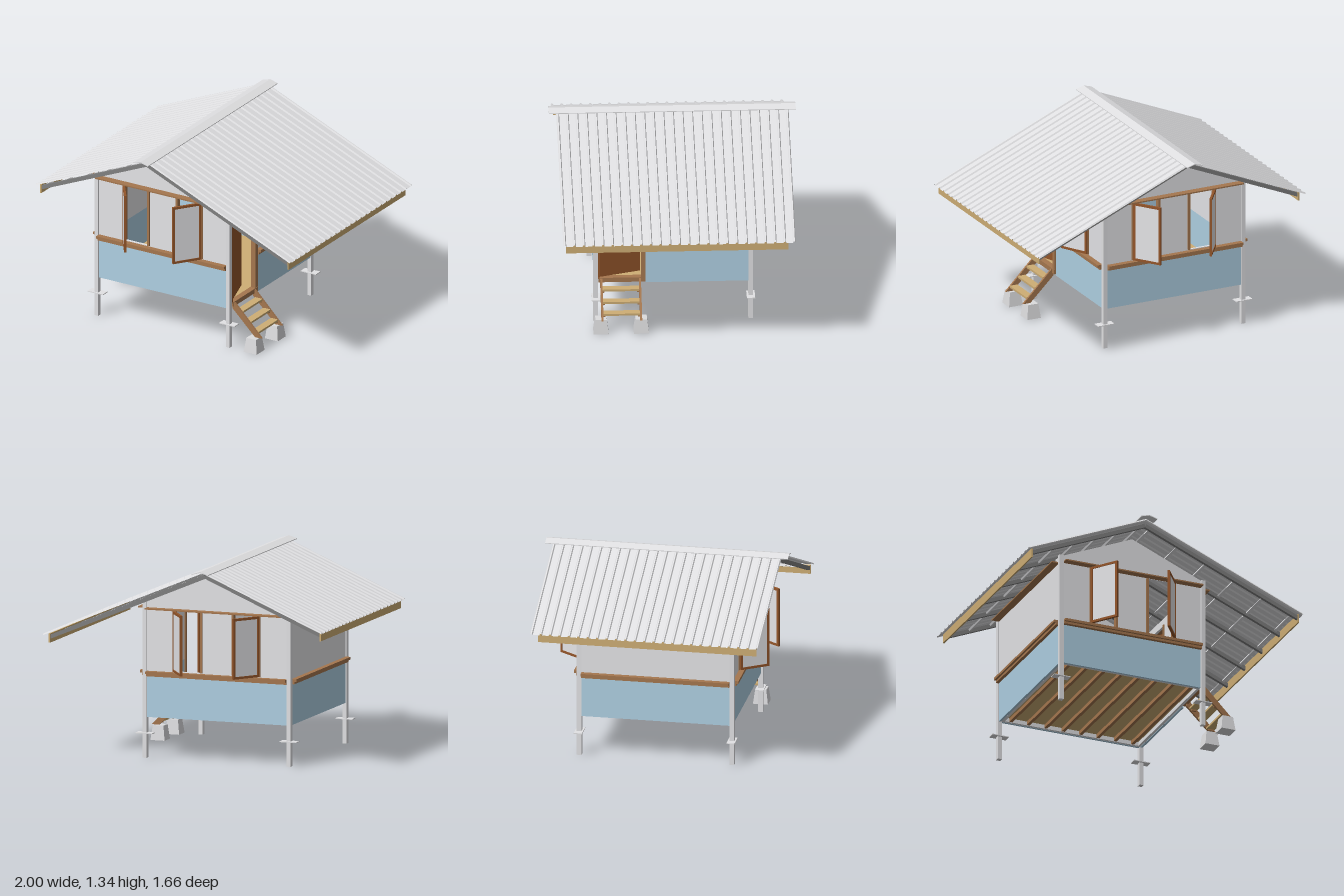
import * as THREE from 'three';

const mat = (name, color, side = THREE.FrontSide) => {
  const m = new THREE.MeshStandardMaterial({ color, side });
  m.name = name;
  return m;
};

export function createModel() {
  const house = new THREE.Group();
  house.name = 'stiltHouse';
  const M = {
    roof: mat('roofMetal', 0xe0e0e2, THREE.DoubleSide),
    wall: mat('wallGrey', 0xe4e4e7),
    blue: mat('wallBlue', 0xafd0e3),
    steel: mat('steel', 0xe2e2e4),
    rafter: mat('rafterGrey', 0x808080),
    timber: mat('timber', 0xa5774f),
    door: mat('doorBrown', 0x93552a),
    tan: mat('paleWood', 0xceae75),
    concrete: mat('concrete', 0xdcdcde),
  };
  const add = (name, geo, m, parent = house) => {
    const mesh = new THREE.Mesh(geo, m);
    mesh.name = name;
    parent.add(mesh);
    return mesh;
  };
  // Box given by its limits on each axis
  const box = (name, m, x0, x1, y0, y1, z0, z1, parent = house) => {
    const b = add(name, new THREE.BoxGeometry(x1 - x0, y1 - y0, z1 - z0), m, parent);
    b.position.set((x0 + x1) / 2, (y0 + y1) / 2, (z0 + z1) / 2);
    return b;
  };
  // Flat panel with rectangular openings [u0, u1, v0, v1]
  const panel = (pts, holes, depth) => {
    const s = new THREE.Shape(pts.map(p => new THREE.Vector2(...p)));
    for (const [a, b, c, d] of holes) {
      s.holes.push(new THREE.Path([[a, c], [a, d], [b, d], [b, c]].map(p => new THREE.Vector2(...p))));
    }
    return new THREE.ExtrudeGeometry(s, { depth, bevelEnabled: false });
  };

  const RX = -0.145, RY = 1.325, SLOPE = 0.424, ANG = Math.atan(SLOPE);
  const roofY = x => RY - SLOPE * Math.abs(x - RX);
  const X0 = -0.665, X1 = 0.37, Z0 = -0.505, Z1 = 0.535;

  // Posts with ground plates
  for (const x of [X0, X1]) for (const z of [Z0, Z1]) {
    box('post', M.steel, x - 0.015, x + 0.015, 0, roofY(x) - 0.04, z - 0.016, z + 0.016);
    box('postPlate', M.steel, x - 0.06, x + 0.06, 0.165, 0.171, z - 0.028, z + 0.028);
  }

  // Floor deck, joists and perimeter beams
  box('floor', M.tan, -0.65, 0.36, 0.305, 0.318, -0.49, 0.52);
  for (let i = 0; i < 8; i++) {
    const x = -0.59 + i * 0.127;
    box('joist', M.timber, x - 0.011, x + 0.011, 0.28, 0.305, -0.49, 0.52);
  }
  for (const z of [-0.485, 0.515]) box('floorBeam', M.steel, -0.65, 0.36, 0.277, 0.305, z - 0.01, z + 0.01);
  for (const x of [-0.645, 0.35]) box('floorBeam', M.steel, x - 0.01, x + 0.01, 0.277, 0.305, -0.49, 0.52);

  // Lower blue walls
  box('lowerWallFront', M.blue, -0.65, 0.358, 0.276, 0.56, 0.522, 0.538);
  box('lowerWallBack', M.blue, -0.65, 0.358, 0.276, 0.56, -0.508, -0.492);
  box('lowerWallRight', M.blue, -0.672, -0.656, 0.276, 0.56, -0.49, 0.52);
  box('lowerWallLeft', M.blue, 0.362, 0.378, 0.276, 0.56, -0.49, 0.2);

  // Gable walls, each with two windows
  const low = 0.56, win = [0.595, 1.01];
  const gable = [[-0.65, low], [0.357, low], [0.357, roofY(0.357) - 0.045],
    [RX, RY - 0.045], [-0.65, roofY(-0.65) - 0.045]];
  const openings = [[-0.45, -0.26], [-0.035, 0.16]];
  for (const z of [0.522, -0.508]) {
    add('gableWall', panel(gable, openings.map(o => [...o, ...win]), 0.016), M.wall).position.z = z;
    for (const x of openings.flat()) {
      box('windowJamb', M.timber, x - 0.008, x + 0.008, ...win, z - 0.008, z + 0.024);
    }
  }

  // Side walls; the left one has a window and a doorway
  const sideTop = roofY(X1) - 0.045;
  box('sideWallRight', M.wall, -0.672, -0.656, low, sideTop, -0.49, 0.52);
  const side = add('sideWallLeft', panel([[-0.2, low], [0.49, low], [0.49, sideTop], [-0.52, sideTop],
    [-0.52, 1.01], [-0.2, 1.01]], [[0.095, 0.28, ...win]], 0.016), M.wall);
  side.rotation.y = Math.PI / 2;
  side.position.x = 0.362;
  for (const z of [-0.28, -0.095]) box('windowJamb', M.timber, 0.354, 0.386, ...win, z - 0.008, z + 0.008);

  // Sill bands and head rails, stopping at the posts
  for (const [z, d] of [[0.538, 1], [-0.508, -1]]) {
    const band = (name, y0, y1, w) =>
      box(name, M.timber, -0.65, 0.355, y0, y1, Math.min(z, z + d * w), Math.max(z, z + d * w));
    band('sill', 0.572, 0.59, 0.038);
    band('sillBacking', 0.556, 0.572, 0.024);
    band('headRail', 1.012, 1.021, 0.05);
  }
  for (const [x, d, z1] of [[-0.672, -1, 0.52], [0.378, 1, 0.2]]) {
    const band = (name, y0, y1, w, end) =>
      box(name, M.timber, Math.min(x, x + d * w), Math.max(x, x + d * w), y0, y1, -0.49, end);
    band('sideSill', 0.572, 0.59, 0.036, z1);
    band('sideSillBacking', 0.556, 0.572, 0.022, z1);
    band('sideHeadRail', 1.012, 1.021, 0.052, 0.52);
  }

  // Window shutters, swinging out from a hinge
  const shutter = (x, z, deg) => {
    const g = new THREE.Group(), L = 0.208, b = 0.597, t = 1.008, w = 0.016;
    g.name = 'shutter';
    box('shutterPanel', M.wall, w, L - w, b + w, t - w, -0.004, 0.004, g);
    for (const u of [0, L - w]) box('shutterStile', M.door, u, u + w, b, t, -0.008, 0.008, g);
    for (const v of [b, t - w]) box('shutterRail', M.door, w, L - w, v, v + w, -0.008, 0.008, g);
    g.position.set(x, 0, z);
    g.rotation.y = THREE.MathUtils.degToRad(deg);
    house.add(g);
  };
  for (const [z, d] of [[0.552, -1], [-0.522, 1]]) {
    shutter(-0.45, z, d * 55);
    shutter(0.16, z, d * 125);
  }
  shutter(0.387, -0.28, -61);

  // Door ajar, with its frame
  const door = new THREE.Group();
  door.name = 'door';
  box('doorLeaf', M.door, -0.008, 0.008, 0.32, 1.0, -0.285, 0, door);
  door.position.set(0.365, 0, 0.508);
  door.rotation.y = 0.32;
  house.add(door);
  box('doorPost', M.timber, 0.355, 0.39, 0.31, 1.01, 0.2, 0.23);
  box('doorHingePost', M.door, 0.355, 0.385, 0.31, 1.01, 0.506, 0.519);
  box('threshold', M.timber, 0.35, 0.392, 0.288, 0.32, 0.2, 0.515);

  // Steps: stringers, treads and concrete feet
  const stringer = panel([[0.38, 0.315], [0.395, 0.315], [0.608, 0.1], [0.555, 0.1], [0.38, 0.27]], [], 0.014);
  for (const z of [0.232, 0.491]) add('stringer', stringer, M.timber).position.z = z;
  for (const [x, y] of [[0.427, 0.255], [0.49, 0.192], [0.55, 0.132]]) {
    box('tread', M.tan, x - 0.028, x + 0.028, y - 0.007, y + 0.007, 0.246, 0.491);
    for (const z of [0.253, 0.484]) box('treadCleat', M.timber, x - 0.016, x + 0.022, y - 0.018, y - 0.007, z - 0.007, z + 0.007);
  }
  for (const z of [0.237, 0.507]) {
    const f = new THREE.CylinderGeometry(0.038 * Math.SQRT2, 0.051 * Math.SQRT2, 0.1, 4).rotateY(Math.PI / 4).toNonIndexed();
    f.computeVertexNormals();
    add('stepFoot', f, M.concrete).position.set(0.55, 0.05, z);
  }

  // Ribbed roof sheets
  const N = 25, pitch = 0.0641, prof = [];
  for (let i = 0; i < N; i++) {
    const z = -0.78 + i * pitch;
    prof.push([z, 0], [z + 0.006, 0.01], [z + 0.014, 0.01], [z + 0.02, 0]);
  }
  const sheet = xe => {
    const pos = [], n = prof.length, idx = [];
    for (const x of [RX, xe]) for (const [z, h] of prof) pos.push(x, roofY(x) - 0.005 + h, z);
    for (let i = 0; i < n - 1; i++) {
      const q = [i, i + 1, n + i, i + 1, n + i + 1, n + i];
      idx.push(...(xe > RX ? q : q.reverse()));
    }
    let g = new THREE.BufferGeometry();
    g.setAttribute('position', new THREE.Float32BufferAttribute(pos, 3));
    g.setIndex(idx);
    g = g.toNonIndexed();
    g.computeVertexNormals();
    return g;
  };
  for (const s of [1, -1]) {
    add('roofSheet', sheet(s), M.roof);
    // Rafters, purlins and fascia under each slope
    const xe = s * 0.972, xm = (RX + xe) / 2, len = Math.abs(xe - RX) / Math.cos(ANG);
    for (let i = 0; i < 6; i++) {
      const r = add('rafter', new THREE.BoxGeometry(len, 0.026, 0.022), M.rafter);
      r.position.set(xm, roofY(xm) - 0.036, -0.715 + i * 0.292);
      r.rotation.z = -s * ANG;
    }
    for (let i = 0; i < 6; i++) {
      const x = RX + (xe - RX) * (0.04 + i * 0.185);
      const p = add('purlin', new THREE.BoxGeometry(0.018, 0.012, 1.46), M.steel);
      p.position.set(x, roofY(x) - 0.03, 0.015);
      p.rotation.z = -s * ANG;
    }
    const fy = roofY(xe) - 0.012;
    box('fascia', M.tan, xe - 0.005, xe + 0.005, fy - 0.062, fy, -0.73, 0.76);
  }

  // Ridge cap
  const cap = panel([[-0.205, 1.314], [RX, 1.33], [-0.088, 1.314], [-0.088, 1.319], [RX, 1.336], [-0.205, 1.319]], [], 1.656);
  add('ridgeCap', cap, M.roof).position.z = -0.828;

  return house;
}
